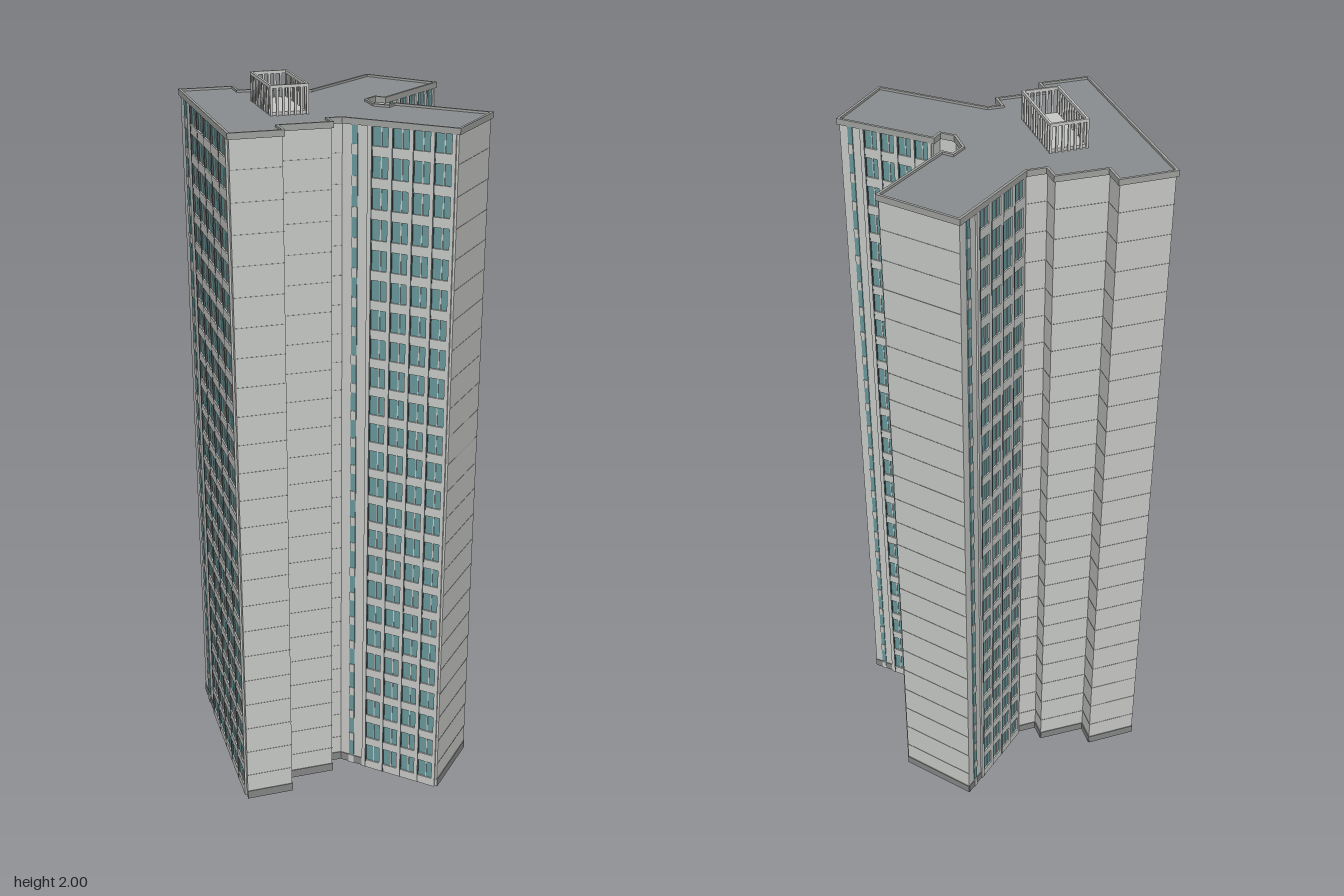
import * as THREE from 'three';
import { mergeGeometries } from 'three/addons/utils/BufferGeometryUtils.js';

const paint = (name, color) => Object.assign(new THREE.MeshStandardMaterial({ color }), { name });

// Footprint corners as [x, z], walked from the front right-hand end of the slab
const PLAN = [
  [-0.425, 0.208], [0.13, 0.415], [0.18, 0.282], [0.125, 0.262], [0.175, 0.132], [0.13, 0.115],
  [0.143, 0.083], [0.422, -0.06], [0.322, -0.26], [0.075, -0.138], [0.09, -0.107], [0.057, -0.09],
  [-0.003, -0.112], [-0.018, -0.152], [0.01, -0.163], [-0.08, -0.42], [-0.298, -0.343],
  [-0.203, -0.073], [-0.22, -0.027], [-0.265, -0.042], [-0.315, 0.085], [-0.372, 0.064],
];
const WINDOW_WALLS = { 0: 5, 6: 4, 8: 4, 14: 4, 16: 4 }; // edge index: number of bays
const FLOORS = 24, TOP = 1.92, STEP = TOP / FLOORS, INSET = 0.005;

// Moves every corner inwards by d, keeping the walls parallel
function inset(points, d) {
  const n = points.length;
  return points.map((p, i) => {
    const a = points[(i + n - 1) % n], b = points[(i + 1) % n];
    const u = new THREE.Vector2(p[0] - a[0], p[1] - a[1]).normalize();
    const v = new THREE.Vector2(b[0] - p[0], b[1] - p[1]).normalize();
    const k = d / (1 + u.dot(v));
    return [p[0] + k * (u.y + v.y), p[1] - k * (u.x + v.x)];
  });
}

function slab(points, y, height, hole) {
  const vec = (list) => list.map(([x, z]) => new THREE.Vector2(x, -z));
  const shape = new THREE.Shape(vec(points));
  if (hole) shape.holes.push(new THREE.Path(vec(hole)));
  const g = new THREE.ExtrudeGeometry(shape, { depth: height, bevelEnabled: false });
  return g.rotateX(-Math.PI / 2).translate(0, y, 0);
}

// Box given by its limits on each axis
function block(x0, x1, y0, y1, z0, z1) {
  return new THREE.BoxGeometry(x1 - x0, y1 - y0, z1 - z0)
    .translate((x0 + x1) / 2, (y0 + y1) / 2, (z0 + z1) / 2);
}

export function createModel() {
  const wall = paint('pale concrete', 0xc8cac7);
  const roofGrey = paint('roof grey', 0x8a8e91);
  const glass = paint('teal glass', 0x68989b);
  const dark = paint('dark recess', 0x4f5657);
  const base = paint('plinth grey', 0x858786);
  const joint = paint('joint grey', 0xa0a29f);

  const model = new THREE.Group();
  model.name = 'towerBlock';
  const add = (parent, name, geometry, material) => {
    const mesh = new THREE.Mesh(Array.isArray(geometry) ? mergeGeometries(geometry) : geometry, material);
    mesh.name = name;
    parent.add(mesh);
  };

  // Main body, roof and parapet
  const core = inset(PLAN, INSET);
  add(model, 'body', slab(core, 0, TOP, null), wall);
  add(model, 'roof', slab(core, TOP, 0.004, null), roofGrey);
  add(model, 'parapet', slab(PLAN, TOP - 0.006, 0.016, inset(PLAN, 0.007)), joint);

  // Each wall is dressed in its own frame: x along the wall, z outwards
  core.forEach((p, i) => {
    const q = core[(i + 1) % core.length];
    const length = Math.hypot(q[0] - p[0], q[1] - p[1]);
    const side = new THREE.Group();
    side.position.set(p[0], 0, p[1]);
    side.rotation.y = -Math.atan2(q[1] - p[1], q[0] - p[0]);
    model.add(side);

    const bays = WINDOW_WALLS[i];
    if (!bays) {
      side.name = 'blankWall';
      add(side, 'plinth', block(0, length, 0, 0.025, 0, 0.002), base);
      const joints = [];
      for (let f = 1; f < FLOORS; f++) {
        joints.push(block(0, length, f * STEP - 0.0008, f * STEP + 0.0008, 0, 0.0008));
      }
      add(side, 'floorJoints', joints, joint);
      return;
    }

    side.name = 'windowWall';
    const start = 0.245 * length, end = 0.965 * length, bay = (end - start) / bays;
    const n0 = 0.09 * length, n1 = 0.14 * length;
    add(side, 'plinth', block(0, start, 0, 0.025, 0, 0.002), base);
    add(side, 'glazing', [
      block(start, end, 0.006, TOP - 0.006, 0, 0.001),
      block(n0, n1, 0.03, TOP - 0.006, 0, 0.0025),
    ], glass);

    // Floor bands, thin transoms and piers over the glazing
    const bands = [], piers = [], fins = [];
    for (let f = 0; f < FLOORS; f++) {
      const y = f * STEP;
      bands.push(block(start, end, y, y + 0.026, 0, 0.005));
      bands.push(block(n0, n1, y, y + 0.026, 0, 0.004));
    }
    for (let b = 0; b <= bays; b++) {
      const x = start + b * bay;
      piers.push(block(x - 0.005, x + 0.005, 0, TOP - 0.006, 0, 0.005));
      if (b < bays) {
        piers.push(block(x + bay * 0.55, x + bay * 0.55 + 0.003, 0, TOP - 0.006, 0, 0.003));
        fins.push(block(x + 0.005, x + 0.0085, 0, TOP - 0.006, 0, 0.0055));
      }
    }
    add(side, 'floorBands', bands, wall);
    add(side, 'piers', piers, wall);
    add(side, 'recessLines', fins, dark);
  });

  // Rooftop enclosure: pad, slatted screen and top ring
  const crown = new THREE.Group();
  crown.name = 'roofEnclosure';
  crown.position.set(-0.076, TOP, 0.119);
  crown.rotation.y = -0.358;
  model.add(crown);
  const W = 0.105, D = 0.05, T = 0.006, H = 0.08;
  add(crown, 'pad', block(-W + T, W - T, 0, 0.012, -D + T, D - T), wall);
  const screen = [];
  for (const s of [-1, 1]) {
    const z = s * (D - T / 2), x = s * (W - T / 2);
    screen.push(block(-W, W, H - 0.008, H, z - T / 2, z + T / 2));
    screen.push(block(x - T / 2, x + T / 2, H - 0.008, H, -D + T, D - T));
    for (let k = 0; k <= 12; k++) {
      const px = -W + T / 2 + (k / 12) * (2 * W - T);
      screen.push(block(px - T / 2, px + T / 2, 0, H - 0.008, z - T / 2, z + T / 2));
    }
    for (let k = 1; k < 6; k++) {
      const pz = -D + T / 2 + (k / 6) * (2 * D - T);
      screen.push(block(x - T / 2, x + T / 2, 0, H - 0.008, pz - T / 2, pz + T / 2));
    }
  }
  add(crown, 'screen', screen, wall);
  return model;
}
